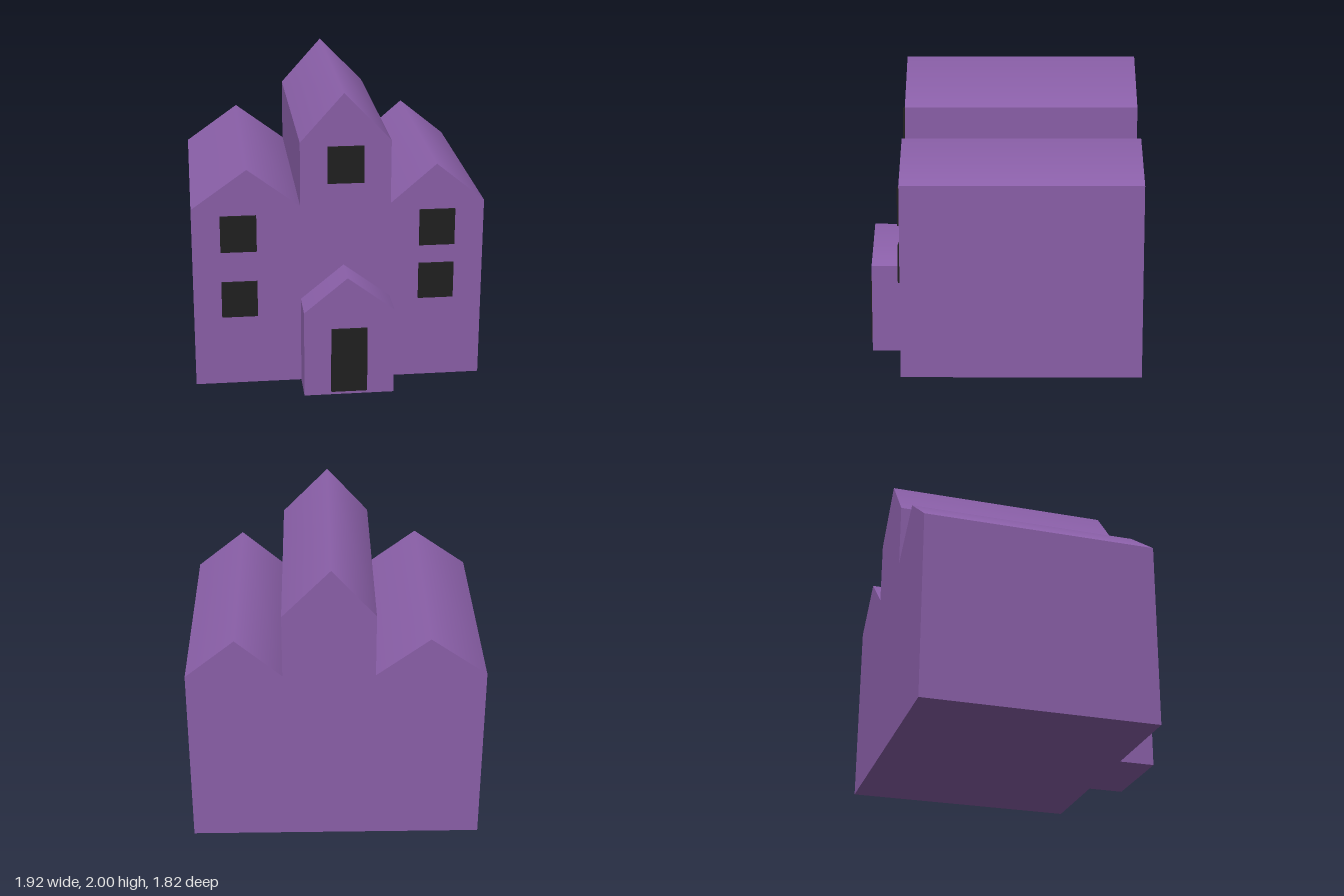
import * as THREE from 'three';

const purple = new THREE.MeshStandardMaterial({ color: 0x8a5fa8 });
const dark = new THREE.MeshStandardMaterial({ color: 0x202020 });

// Extrudes a front outline from z0 to z1; roof shading is smooth across each ridge.
function gabled(name, outline, ridges, z0, z1) {
  const shape = new THREE.Shape(outline.map(([x, y]) => new THREE.Vector2(x, y)));
  const geometry = new THREE.ExtrudeGeometry(shape, { depth: z1 - z0, bevelEnabled: false });
  geometry.translate(0, 0, z0);
  const { position, normal } = geometry.attributes;
  for (let i = 0; i < position.count; i++) {
    const onRidge = ridges.some(([x, y]) =>
      Math.hypot(position.getX(i) - x, position.getY(i) - y) < 1e-4);
    if (onRidge && Math.abs(normal.getZ(i)) < 0.5) normal.setXYZ(i, 0, 1, 0);
  }
  const mesh = new THREE.Mesh(geometry, purple);
  mesh.name = name;
  return mesh;
}

// Thin dark panel standing just clear of the wall.
function panel(name, x0, x1, y0, y1, z) {
  const mesh = new THREE.Mesh(new THREE.BoxGeometry(x1 - x0, y1 - y0, 0.016), dark);
  mesh.position.set((x0 + x1) / 2, (y0 + y1) / 2, z);
  mesh.name = name;
  return mesh;
}

export function createModel() {
  const house = new THREE.Group();
  house.name = 'house';

  // Main body: two gabled wings with a taller gabled tower between them
  const rightRidge = [-0.6, 1.51], towerRidge = [0.03, 2], leftRidge = [0.64, 1.51];
  house.add(gabled('mainBody', [
    [-0.965, 0], [0.96, 0], [0.96, 1.25], leftRidge, [0.34, 1.25], [0.34, 1.68],
    towerRidge, [-0.255, 1.68], [-0.255, 1.25], rightRidge, [-0.965, 1.25],
  ], [rightRidge, towerRidge, leftRidge], -0.91, 0.645));

  // Entrance porch
  const porchRidge = [0.03, 0.83];
  house.add(gabled('porch', [
    [-0.255, 0], [0.34, 0], [0.34, 0.595], porchRidge, [-0.255, 0.595],
  ], [porchRidge], 0.645, 0.885));

  // Windows and door
  house.add(
    panel('upperRightWindow', -0.78, -0.543, 0.955, 1.203, 0.664),
    panel('lowerRightWindow', -0.78, -0.543, 0.495, 0.743, 0.664),
    panel('upperLeftWindow', 0.53, 0.765, 0.955, 1.203, 0.664),
    panel('lowerLeftWindow', 0.53, 0.765, 0.577, 0.825, 0.664),
    panel('towerWindow', -0.078, 0.16, 1.405, 1.653, 0.664),
    panel('door', -0.078, 0.16, 0.03, 0.48, 0.902),
  );
  return house;
}
